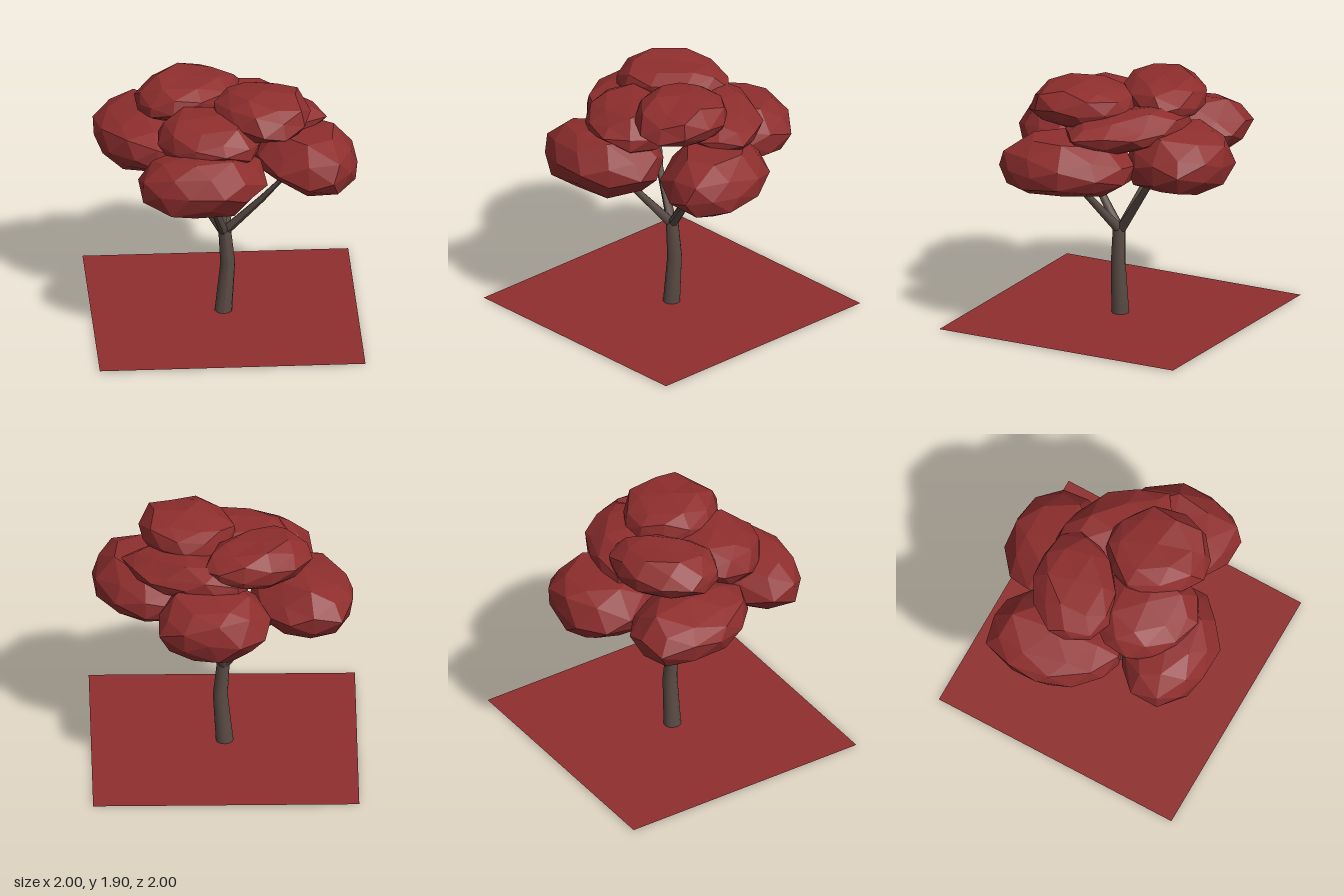
import * as THREE from 'three';
import { mergeVertices } from 'three/addons/utils/BufferGeometryUtils.js';

// Small seeded generator for the facet irregularity
function seeded(seed) {
  let s = seed * 7919 + 17;
  return () => (s = (s * 16807) % 2147483647) / 2147483647;
}

// Faceted leaf clump: a roughened, flattened icosphere whose plan is a slanted oval
function clumpGeometry({ x, z, width, depth, slant, heights }, seed) {
  const rand = seeded(seed);
  const [low, middle, high] = heights;
  let geo = new THREE.IcosahedronGeometry(1, 1);
  geo.deleteAttribute('uv');
  geo.deleteAttribute('normal');
  geo = mergeVertices(geo, 1e-4);
  geo.rotateY(seed * 1.3);
  const p = geo.attributes.position;
  for (let i = 0; i < p.count; i++) {
    const px = p.getX(i), pz = p.getZ(i);
    // Swell the shoulders, then push each corner in or out a little
    const swell = Math.pow(Math.hypot(px, pz) + 1e-6, -0.2) * (0.94 + 0.14 * rand());
    const py = THREE.MathUtils.clamp(p.getY(i) * 1.05 + (rand() - 0.5) * 0.3, -1, 1);
    p.setXYZ(i,
      x + width * px * swell,
      middle + py * (py > 0 ? high - middle : middle - low),
      z + depth * (pz * Math.cos(slant) + px * Math.sin(slant)) * swell);
  }
  geo = geo.toNonIndexed();
  geo.computeVertexNormals();
  return geo;
}

// Tapered round limb through points [x, y, z, radius]
function limbGeometry(points, sides) {
  const n = points.length - 1;
  const geo = new THREE.CylinderGeometry(1, 1, 1, sides, n);
  const pos = points.map(([x, y, z]) => new THREE.Vector3(x, y, z));
  const up = new THREE.Vector3(0, 1, 0);
  const turns = pos.map((_, i) => {
    const dir = pos[Math.min(i + 1, n)].clone().sub(pos[Math.max(i - 1, 0)]).normalize();
    return new THREE.Quaternion().setFromUnitVectors(up, dir);
  });
  const p = geo.attributes.position;
  const v = new THREE.Vector3();
  for (let i = 0; i < p.count; i++) {
    const row = Math.round((p.getY(i) + 0.5) * n);
    v.set(p.getX(i), 0, p.getZ(i)).multiplyScalar(points[row][3]);
    v.applyQuaternion(turns[row]).add(pos[row]);
    p.setXYZ(i, v.x, v.y, v.z);
  }
  geo.computeVertexNormals();
  return geo;
}

export function createModel() {
  const tree = new THREE.Group();
  tree.name = 'tree';
  const leaf = new THREE.MeshStandardMaterial({ color: 0x8f2e2e, side: THREE.DoubleSide });
  leaf.name = 'leafRed';
  const bark = new THREE.MeshStandardMaterial({ color: 0x5a4b45 });
  bark.name = 'barkBrown';
  const add = (name, geo, mat) => {
    const mesh = new THREE.Mesh(geo, mat);
    mesh.name = name;
    tree.add(mesh);
  };

  // Square ground sheet
  add('groundSheet', new THREE.PlaneGeometry(2, 2).rotateX(-Math.PI / 2).translate(0, 0.006, 0), leaf);

  // Trunk with a slight bend
  add('trunk', limbGeometry([
    [-0.005, 0.004, 0, 0.066], [0.028, 0.4, 0, 0.056], [0.002, 0.71, 0.005, 0.047],
  ], 12), bark);

  // Four kinked branches, each from the fork through a knee to a tip
  const branches = {
    frontBranch: [[-0.1, 1.0, 0.28], [-0.28, 1.3, 0.48]],
    leftBranch: [[0.28, 0.98, 0.11], [0.47, 1.28, 0.29]],
    rightBranch: [[-0.24, 1.0, -0.1], [-0.48, 1.29, -0.31]],
    backBranch: [[0.1, 1.06, -0.28], [0.26, 1.28, -0.48]],
  };
  for (const [name, [knee, tip]] of Object.entries(branches)) {
    add(name, limbGeometry([
      [knee[0] * 0.04, 0.67, knee[2] * 0.04, 0.038], [...knee, 0.026], [...tip, 0.014],
    ], 8), bark);
  }

  // Leaf clumps: width and depth are half sizes, heights are bottom, widest and top
  const clumps = {
    frontClump: { x: -0.19, z: 0.53, width: 0.47, depth: 0.37, slant: -0.12, heights: [1.12, 1.33, 1.58] },
    leftClump: { x: 0.6, z: 0.12, width: 0.4, depth: 0.48, slant: 0.25, heights: [1.13, 1.32, 1.57] },
    rightClump: { x: -0.59, z: -0.22, width: 0.39, depth: 0.51, slant: 0.15, heights: [1.18, 1.38, 1.6] },
    backClump: { x: 0.1, z: -0.57, width: 0.43, depth: 0.39, slant: 0, heights: [1.12, 1.32, 1.58] },
    middleFrontClump: { x: -0.12, z: 0.3, width: 0.4, depth: 0.36, slant: 0.1, heights: [1.42, 1.58, 1.77] },
    middleBackClump: { x: 0.28, z: -0.21, width: 0.46, depth: 0.39, slant: 0.45, heights: [1.44, 1.57, 1.73] },
    topBackClump: { x: -0.26, z: -0.24, width: 0.4, depth: 0.36, slant: -0.3, heights: [1.56, 1.69, 1.87] },
    topFrontClump: { x: 0.28, z: 0.16, width: 0.36, depth: 0.39, slant: 0.1, heights: [1.58, 1.71, 1.9] },
  };
  Object.entries(clumps).forEach(([name, clump], i) => add(name, clumpGeometry(clump, i + 1), leaf));
  return tree;
}
